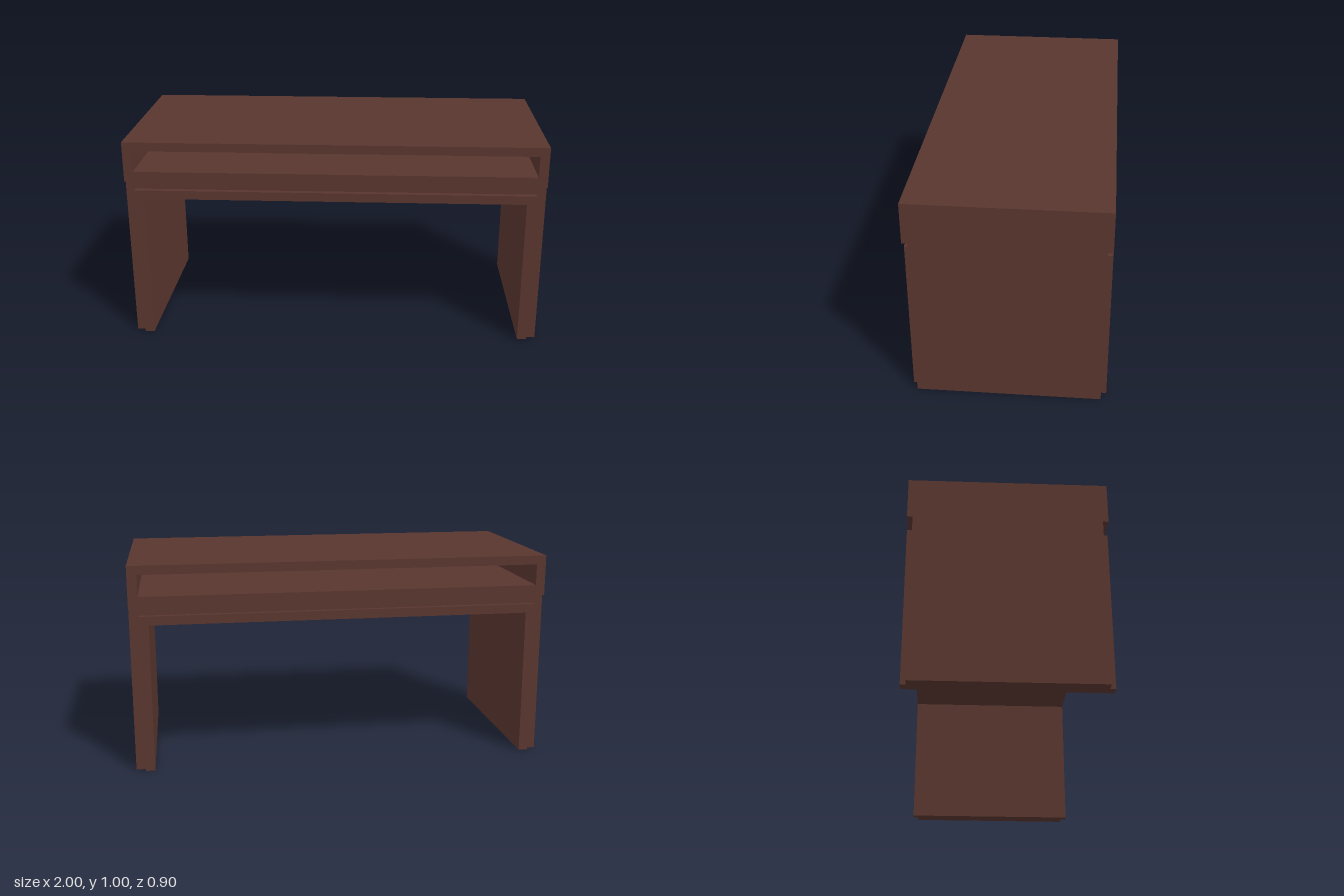
import * as THREE from 'three';

const wood = new THREE.MeshStandardMaterial({ color: 0x5a362f });

// Closed outline from a short list of corners
const outline = (points) => new THREE.Shape(points.map(([x, y]) => new THREE.Vector2(x, y)));

// Upside-down U: two side panels joined by a top panel
function archShape(halfWidth, height, side, top) {
  const inner = halfWidth - side;
  return outline([
    [-halfWidth, 0], [-inner, 0], [-inner, height - top], [inner, height - top],
    [inner, 0], [halfWidth, 0], [halfWidth, height], [-halfWidth, height],
  ]);
}

// Extrude a front outline along z, centred on z = 0
function addPart(group, name, shape, depth) {
  const geometry = new THREE.ExtrudeGeometry(shape, { depth, bevelEnabled: false });
  geometry.translate(0, 0, -depth / 2);
  const mesh = new THREE.Mesh(geometry, wood);
  mesh.name = name;
  group.add(mesh);
}

export function createModel() {
  const desk = new THREE.Group();
  desk.name = 'desk';

  // Desktop box with an open shelf running from front to back
  const shelf = outline([[-1, 0.8], [1, 0.8], [1, 0.995], [-1, 0.995]]);
  shelf.holes.push(outline([[-0.955, 0.85], [-0.955, 0.952], [0.955, 0.952], [0.955, 0.85]]));
  addPart(desk, 'shelfTop', shelf, 0.9);

  // Outer legs, set back slightly from the desktop edges
  addPart(desk, 'outerFrame', archShape(1, 0.8, 0.045, 0.043), 0.85);

  // Inner lining, flush with the desktop edges
  addPart(desk, 'innerFrame', archShape(0.955, 0.757, 0.045, 0.043), 0.9);

  return desk;
}
